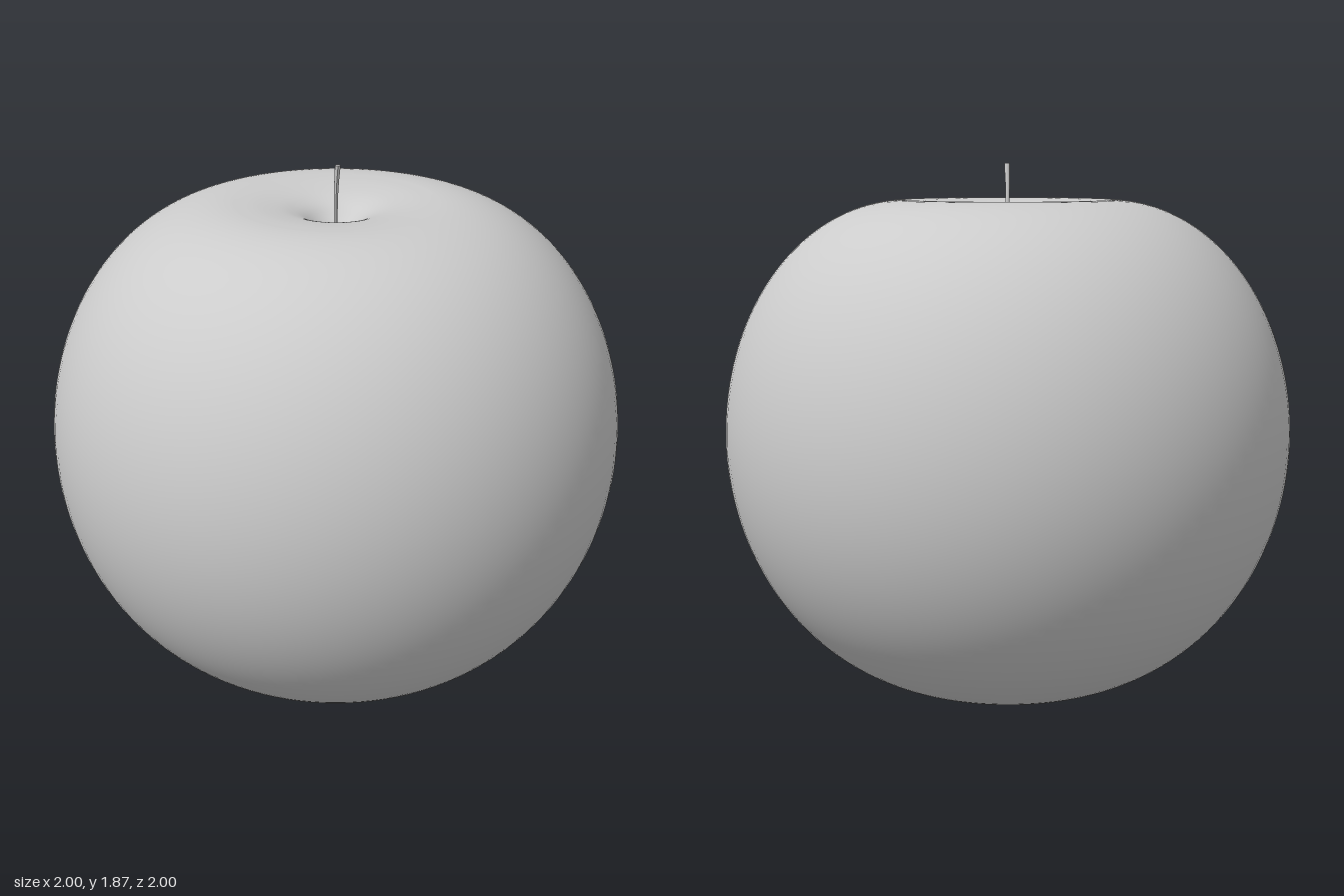
import * as THREE from 'three';

const V2 = (x, y) => new THREE.Vector2(x, y);
const material = () => new THREE.MeshStandardMaterial({ color: 0xcccccc, roughness: 0.8 });

// Quarter-ellipse arc, sampled from angle a to b (radians)
function arc(cx, cy, rx, ry, a, b, n) {
  return Array.from({ length: n + 1 }, (_, i) => {
    const t = a + ((b - a) * i) / n;
    return V2(cx + rx * Math.cos(t), cy + ry * Math.sin(t));
  });
}

// Fruit body: shallow hollow below, full belly, deeper hollow on top
function makeFruit() {
  const bottomHollow = new THREE.SplineCurve([
    V2(0, 0.045), V2(0.05, 0.039), V2(0.1, 0.022), V2(0.15, 0.006), V2(0.19, 0),
  ]).getPoints(16);
  const lower = arc(0.19, 0.92, 0.81, 0.92, -Math.PI / 2, 0, 40);
  const upper = arc(0.36, 0.92, 0.64, 0.825, 0, Math.PI / 2, 40);
  const topHollow = new THREE.SplineCurve([
    V2(0.36, 1.745), V2(0.28, 1.741), V2(0.2, 1.729), V2(0.15, 1.715),
    V2(0.11, 1.696), V2(0.07, 1.664), V2(0.03, 1.633), V2(0, 1.625),
  ]).getPoints(36);
  const profile = [...bottomHollow, ...lower.slice(1), ...upper.slice(1), ...topHollow.slice(1)];
  const mesh = new THREE.Mesh(new THREE.LatheGeometry(profile, 96), material());
  mesh.name = 'fruit';
  return mesh;
}

// Thin leaning stem that thickens slightly towards its tip
function makeStem() {
  const path = new THREE.CatmullRomCurve3([
    new THREE.Vector3(0, 1.61, -0.015),
    new THREE.Vector3(0, 1.7, -0.01),
    new THREE.Vector3(0.001, 1.79, -0.002),
    new THREE.Vector3(0.005, 1.872, 0.013),
  ]);
  const rows = 12;
  const geometry = new THREE.CylinderGeometry(1, 1, 1, 10, rows);
  const pos = geometry.attributes.position;
  const p = new THREE.Vector3();
  for (let i = 0; i < pos.count; i++) {
    const t = pos.getY(i) + 0.5;
    const radius = 0.006 + 0.004 * t * t;
    path.getPoint(t, p);
    pos.setXYZ(i, p.x + pos.getX(i) * radius, p.y, p.z + pos.getZ(i) * radius);
  }
  geometry.computeVertexNormals();
  const mesh = new THREE.Mesh(geometry, material());
  mesh.name = 'stem';
  return mesh;
}

export function createModel() {
  const group = new THREE.Group();
  group.name = 'apple';
  group.add(makeFruit(), makeStem());
  return group;
}
